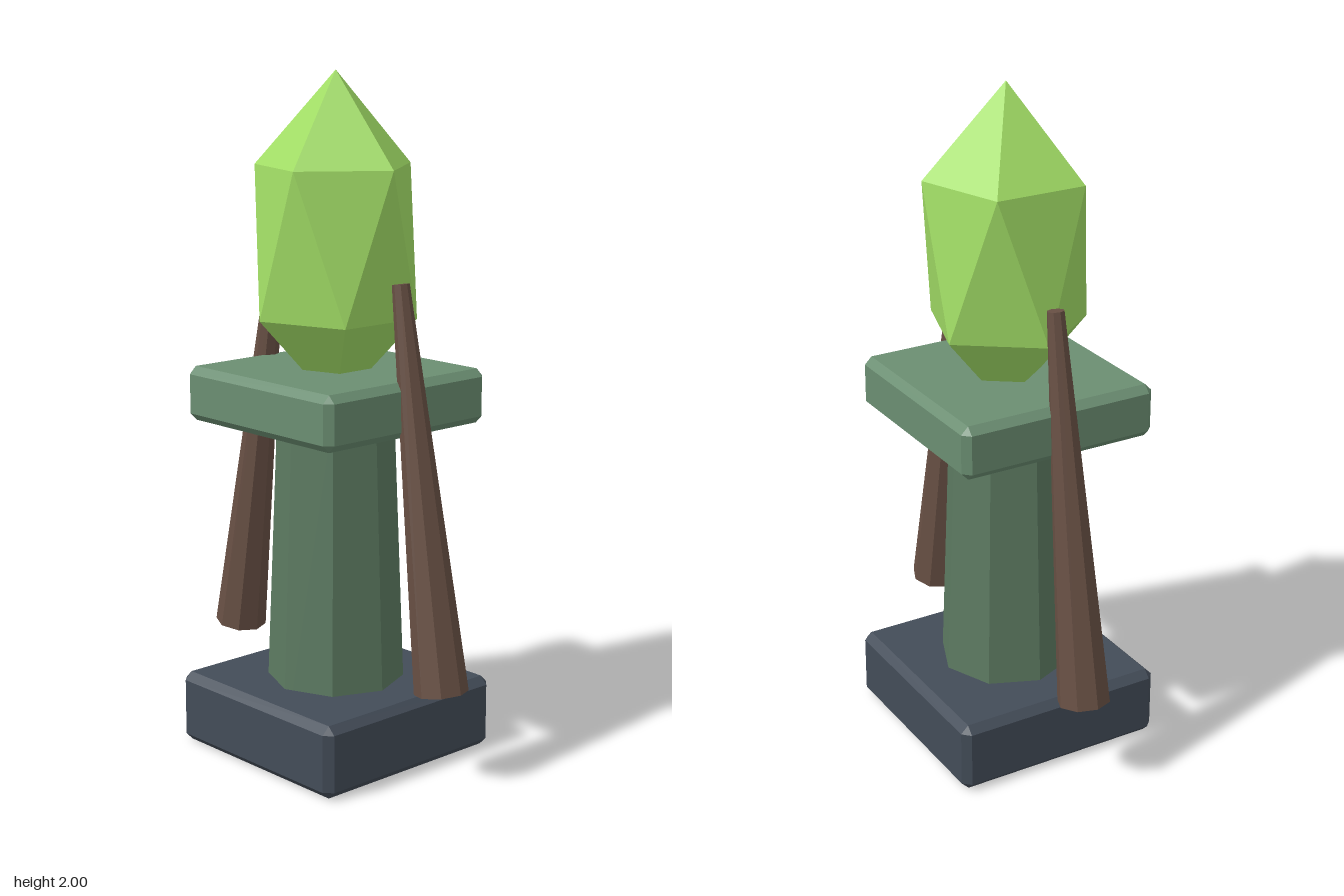
import * as THREE from 'three';
import { ConvexGeometry } from 'three/addons/geometries/ConvexGeometry.js';

const material = (color) => new THREE.MeshStandardMaterial({ color, flatShading: true });
const stone = material(0x434c58);
const slabGreen = material(0x6b8e72);
const columnGreen = material(0x5c7a61);
const wood = material(0x685044);
const crystalGreen = material(0xa2de66);

function part(name, geometry, mat, x, y, z) {
  const mesh = new THREE.Mesh(geometry, mat);
  mesh.name = name;
  mesh.position.set(x, y, z);
  return mesh;
}

// Box with every edge cut by a flat chamfer
function chamferedBox(width, height, depth, bevel) {
  const points = [];
  const half = [width / 2, height / 2, depth / 2];
  for (const sx of [-1, 1]) for (const sy of [-1, 1]) for (const sz of [-1, 1]) {
    for (let face = 0; face < 3; face++) {
      const [x, y, z] = half.map((h, axis) => (axis === face ? h : h - bevel));
      points.push(new THREE.Vector3(sx * x, sy * y, sz * z));
    }
  }
  return new ConvexGeometry(points);
}

// Stretched icosahedron standing on a tip: two rings of five, turned 36 degrees apart
function crystalGeometry(ringRadius, halfHeight) {
  const ringY = halfHeight / Math.sqrt(5);
  const points = [new THREE.Vector3(0, halfHeight, 0), new THREE.Vector3(0, -halfHeight, 0)];
  for (let i = 0; i < 5; i++) {
    const a = (i * Math.PI * 2) / 5;
    const x = ringRadius * Math.cos(a);
    const z = ringRadius * Math.sin(a);
    points.push(new THREE.Vector3(x, ringY, z), new THREE.Vector3(-x, -ringY, -z));
  }
  return new ConvexGeometry(points);
}

export function createModel() {
  const group = new THREE.Group();
  group.name = 'crystalPedestal';

  // Pedestal
  group.add(part('base', chamferedBox(0.66, 0.215, 0.66, 0.023), stone, 0, 0.1075, 0));
  group.add(part('column', new THREE.CylinderGeometry(0.17, 0.21, 1.03, 8), columnGreen, 0, 0.525, 0));
  group.add(part('platform', chamferedBox(0.62, 0.16, 0.62, 0.022), slabGreen, 0, 1.07, 0));

  // Crystal, its lower tip sunk into the platform
  group.add(part('crystal', crystalGeometry(0.237, 0.484), crystalGreen, 0, 1.516, 0));

  // Tapered posts leaning inward on both sides
  const postGeometry = new THREE.CylinderGeometry(0.025, 0.078, 1.16, 8);
  for (const [name, side] of [['leftPost', 1], ['rightPost', -1]]) {
    const post = part(name, postGeometry, wood, side * 0.355, 0.848, 0);
    post.rotation.z = side * 0.152;
    group.add(post);
  }

  return group;
}
